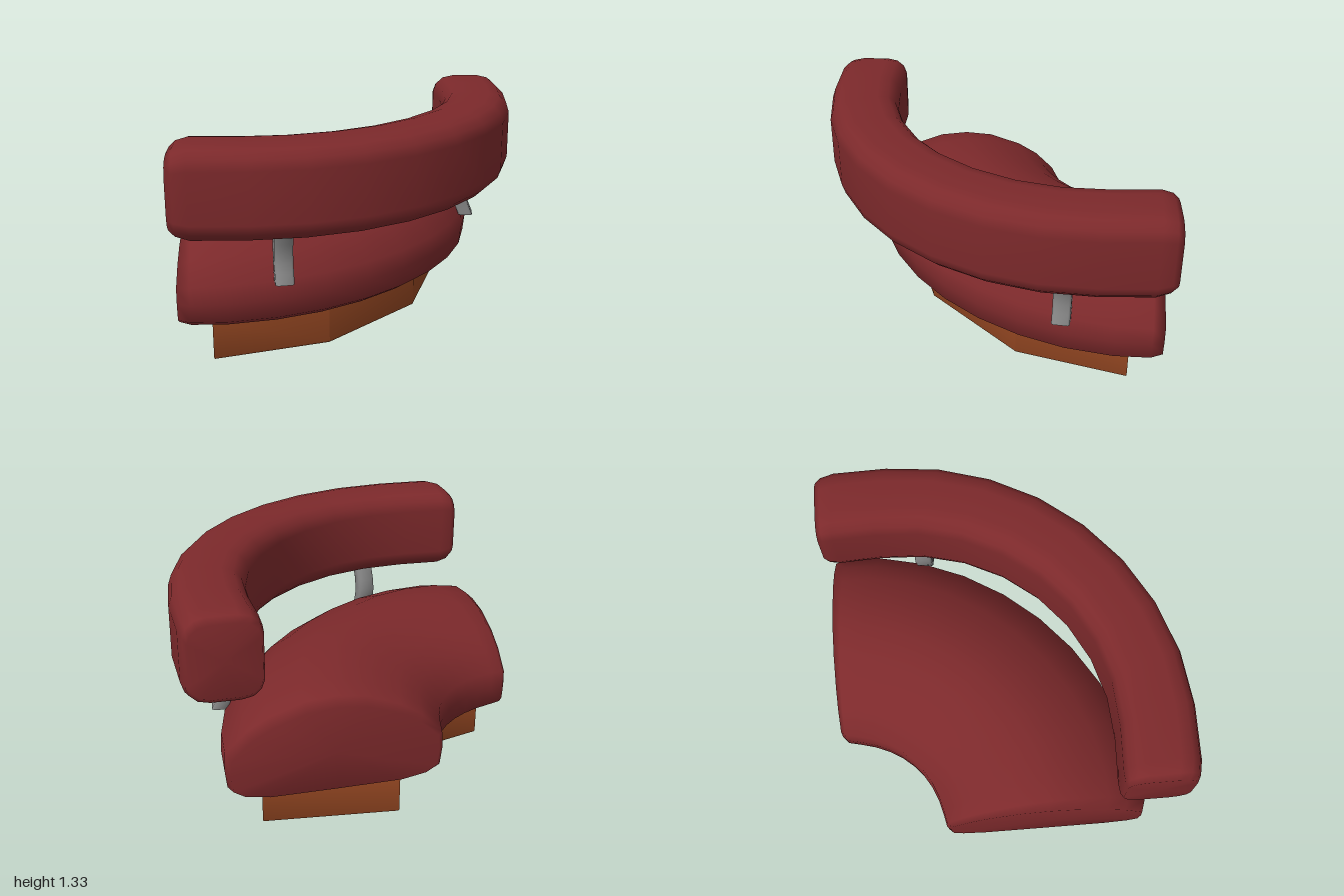
import * as THREE from 'three';
import { toCreasedNormals } from 'three/addons/utils/BufferGeometryUtils.js';

const CX = -0.6, CZ = -0.585; // centre of the backrest arc
const END_Z = 0.41, END_X = 0.385; // distance from that centre to the two flat ends

// Skin a list of closed loops, capping both ends; shared vertices give soft normals
function loft(rows) {
  const n = rows[0].length, pos = [], idx = [];
  rows.forEach(row => row.forEach(p => pos.push(p.x, p.y, p.z)));
  for (let i = 0; i < rows.length - 1; i++) {
    for (let j = 0; j < n; j++) {
      const k = (j + 1) % n;
      const a = i * n + j, b = i * n + k, c = b + n, d = a + n;
      idx.push(a, b, c, a, c, d);
    }
  }
  for (const last of [false, true]) {
    const row = last ? rows[rows.length - 1] : rows[0];
    const start = last ? (rows.length - 1) * n : 0;
    const mid = row.reduce((s, p) => s.add(p), new THREE.Vector3()).divideScalar(n);
    const m = pos.length / 3;
    pos.push(mid.x, mid.y, mid.z);
    for (let j = 0; j < n; j++) {
      const a = start + j, b = start + (j + 1) % n;
      if (last) idx.push(m, a, b); else idx.push(m, b, a);
    }
  }
  const g = new THREE.BufferGeometry();
  g.setAttribute('position', new THREE.Float32BufferAttribute(pos, 3));
  g.setIndex(idx);
  g.computeVertexNormals();
  return g;
}

// Point on the backrest arc, s = 0..1 between the end planes; nearly straight past the quarter turn
function arcPoint(r, s, y) {
  const a0 = -Math.asin(END_Z / r), a1 = Math.PI / 2 + Math.asin(END_X / r);
  const a = a0 + (a1 - a0) * s;
  const straighten = v => 1 - (1 - v) * 0.3;
  const c = a < 0 ? straighten(Math.cos(a)) : Math.cos(a);
  const d = a > Math.PI / 2 ? straighten(Math.sin(a)) : Math.sin(a);
  return new THREE.Vector3(CX + r * c, y, CZ + r * d);
}

// Stations along a cushion: [s, amount the section shrinks]; closer together at the ends
function stations(ends, steps) {
  const out = ends.map(e => [...e]);
  const from = ends[ends.length - 1][0];
  for (let i = 1; i < steps; i++) out.push([from + (1 - 2 * from) * i / steps, 0]);
  for (const [s, k] of [...ends].reverse()) out.push([1 - s, k]);
  return out;
}

// Curved backrest: rounded rectangle swept along the arc
function backGeometry() {
  const mr = 1.375, my = 1.08;
  const corner = [[0.205, 0.14], [0.187, 0.195], [0.145, 0.235], [0.08, 0.25]];
  const flip = (sx, sy, list) => list.map(([x, y]) => [x * sx, y * sy]);
  const rev = [...corner].reverse();
  const section = [...flip(1, -1, rev), ...corner, ...flip(-1, 1, rev), ...flip(-1, -1, corner)];
  return loft(stations([[0, 0.2], [0.011, 0.08], [0.035, 0]], 10).map(([s, k]) =>
    section.map(([x, y]) => arcPoint(mr + x * (1 - k * 0.6), s, my + y * (1 - k)))));
}

// Domed seat: quarter ring whose section is softened towards the ends
function seatGeometry() {
  const c = -0.985, inner = 0.585, outer = 1.775, my = 0.45;
  const half = [[0.5, 0.24], [0.82, 0.242], [0.94, 0.27], [0.99, 0.31], [1, 0.42], [0.995, 0.53],
    [0.9, 0.66], [0.8, 0.745], [0.64, 0.825], [0.5, 0.845]];
  const section = [...half, ...half.slice(1, -1).reverse().map(([u, y]) => [1 - u, y])];
  const ends = [[0, 0.24], [0.025, 0.13], [0.1, 0.06], [0.2, 0.02]];
  return loft(stations(ends, 6).map(([s, k]) => {
    const a = s * Math.PI / 2;
    return section.map(([u, y]) => {
      const r = inner + (outer - inner) * (0.5 + (u - 0.5) * (1 - k * k));
      const h = my + (y - my) * (1 - (y > my ? k : k / 2));
      return new THREE.Vector3(c + r * Math.cos(a), h, c + r * Math.sin(a));
    });
  }));
}

// Plinth: coarse quarter ring with slightly slanted ends and a small bevel
function baseGeometry() {
  const c = -0.9, ring = (r, deg) => {
    const a = deg * Math.PI / 180;
    return [c + r * Math.cos(a), c + r * Math.sin(a)];
  };
  const plan = [[0.57, -0.82], ring(1.47, 30), ring(1.47, 60), [-0.82, 0.57],
    ...[90, 60, 30, 0].map(d => ring(0.72, d))];
  const shape = new THREE.Shape(plan.map(([x, z]) => new THREE.Vector2(x, -z)).reverse());
  const g = new THREE.ExtrudeGeometry(shape, {
    depth: 0.21, bevelThickness: 0.015, bevelSize: 0.015, bevelOffset: -0.015, bevelSegments: 2
  });
  g.rotateX(-Math.PI / 2).translate(0, 0.015, 0);
  return toCreasedNormals(g, 0.6);
}

// Bowed bracket joining the seat to the backrest, lying along +x
function bracketGeometry() {
  const path = [[1.335, 0.53], [1.31, 0.59], [1.296, 0.64], [1.294, 0.69], [1.306, 0.75], [1.338, 0.83], [1.37, 0.9]];
  const section = [[0.043, -0.04], [0.043, 0.04], [0.032, 0.051], [-0.032, 0.051],
    [-0.043, 0.04], [-0.043, -0.04], [-0.032, -0.051], [0.032, -0.051]];
  return toCreasedNormals(
    loft(path.map(([r, y]) => section.map(([x, w]) => new THREE.Vector3(r + x, y, -w)))), 0.9);
}

export function createModel() {
  const mat = (name, color) => {
    const m = new THREE.MeshStandardMaterial({ color });
    m.name = name;
    return m;
  };
  const upholstery = mat('red upholstery', 0x7c292b);
  const wood = mat('brown wood', 0x8f4420);
  const metal = mat('grey metal', 0x868686);

  const group = new THREE.Group();
  group.name = 'cornerSofa';
  const add = (name, geometry, material) => {
    const mesh = new THREE.Mesh(geometry, material);
    mesh.name = name;
    group.add(mesh);
    return mesh;
  };

  add('base', baseGeometry(), wood);
  add('seat', seatGeometry(), upholstery);
  add('backrest', backGeometry(), upholstery);

  // One bracket near each end
  const bracket = bracketGeometry();
  [['leftBracket', 7.3], ['rightBracket', 81.8]].forEach(([name, deg]) => {
    const m = add(name, bracket, metal);
    m.position.set(CX, 0, CZ);
    m.rotation.y = -deg * Math.PI / 180;
  });
  return group;
}
